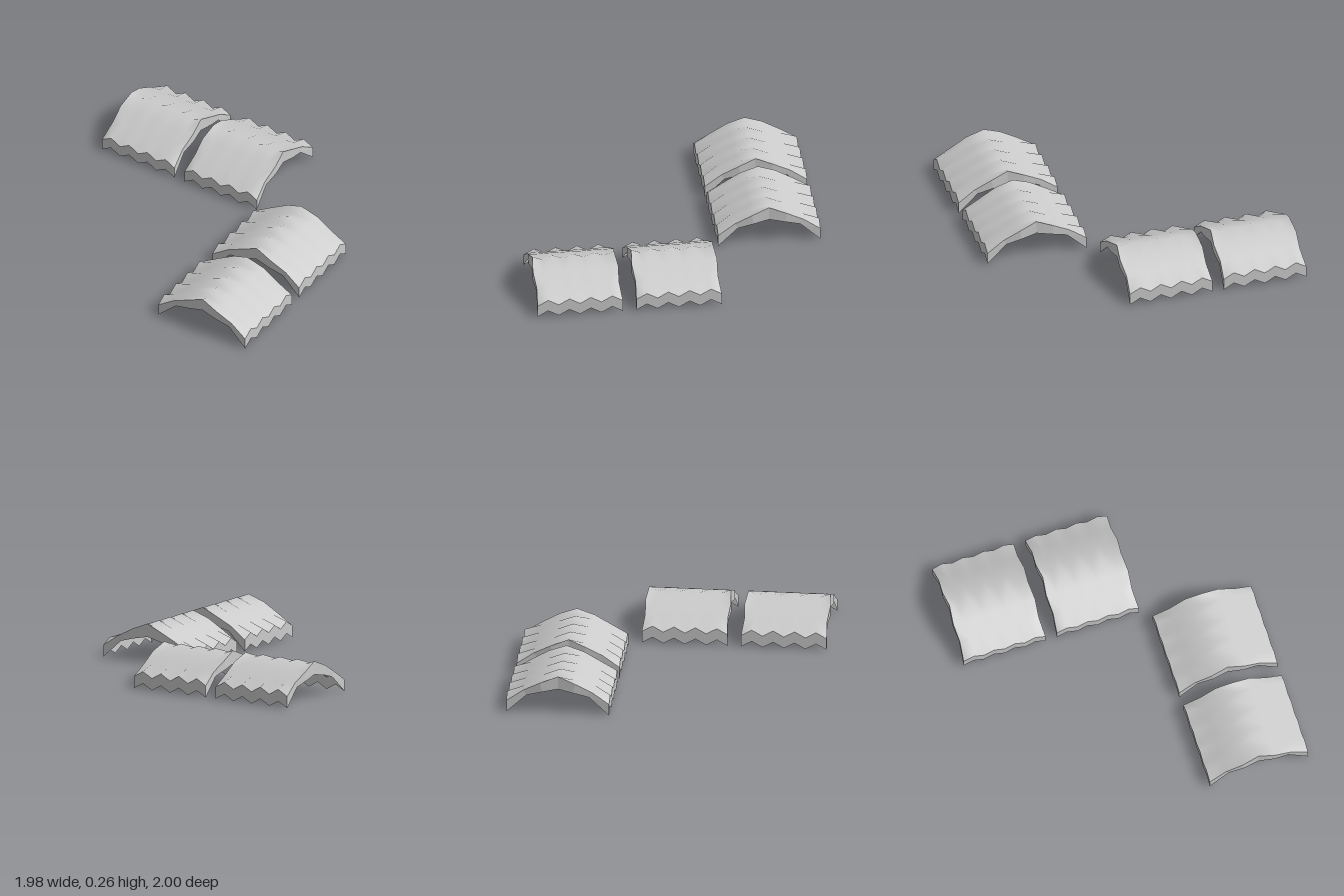
import * as THREE from 'three';
import { mergeGeometries } from 'three/addons/utils/BufferGeometryUtils.js';

const TEETH = 4, LENGTH = 0.572;
// Half arch from foot to crown: [distance from ridge, height on even columns, height on odd columns, end inset]
const ROOF = [[0.343, 0.08, 0.12, 0], [0.23, 0.155, 0.16, 0.01], [0.115, 0.215, 0.213, 0], [0, 0.26, 0.235, 0.012]];
// Lower edge of the hanging border, same layout
const RIM = [[0.343, 0, 0.04, 0], [0.21, 0.12, 0.12, 0.01], [0.105, 0.15, 0.15, 0], [0, 0.17, 0.17, 0.012]];

// Columns of points: the arch repeated along the ridge with alternating heights
function archGrid(half) {
  const profile = [
    ...half.map(([d, ...rest]) => [-d, ...rest]),
    ...half.slice(0, -1).reverse(),
  ];
  const columns = [];
  for (let i = 0; i <= TEETH * 2; i++) {
    const t = i / TEETH - 1;
    columns.push(profile.map(([z, even, odd, inset]) =>
      [t * (LENGTH / 2 - inset), i % 2 ? odd : even, z]));
  }
  return columns;
}

// Surface through rows of points, diagonals mirrored from row to row;
// it faces (column direction x row direction)
function sheet(rows, flat = false) {
  const n = rows[0].length, index = [];
  for (let i = 0; i < rows.length - 1; i++) {
    for (let j = 0; j < n - 1; j++) {
      const a = i * n + j, b = a + 1, d = a + n, c = d + 1;
      if (i % 2) index.push(a, b, d, b, c, d);
      else index.push(a, b, c, a, c, d);
    }
  }
  let g = new THREE.BufferGeometry();
  g.setAttribute('position', new THREE.Float32BufferAttribute(rows.flat(2), 3));
  g.setIndex(index);
  if (flat) g = g.toNonIndexed();
  g.computeVertexNormals();
  return flat ? g : g.toNonIndexed();
}

// Open shell: a vaulted roof with a border hanging from all four edges
function archGeometry() {
  const top = archGrid(ROOF), rim = archGrid(RIM);
  const last = top.length - 1, side = top[0].length - 1;
  const line = (grid, j) => grid.map((column) => column[j]);
  return mergeGeometries([
    sheet(top),
    // saw-toothed feet
    sheet([line(rim, side), line(top, side)], true),
    sheet([line(top, 0), line(rim, 0)], true),
    // arched ends
    sheet([top[last], rim[last]], true),
    sheet([rim[0], top[0]], true),
  ]);
}

export function createModel() {
  const group = new THREE.Group();
  group.name = 'archedPanels';
  const geometry = archGeometry();
  const material = new THREE.MeshStandardMaterial({ color: 0xcccccc, side: THREE.DoubleSide });
  // Two panels with ridges along x, two with ridges along z
  [
    ['backRightPanel', -0.704, -0.657, 0],
    ['backCentrePanel', -0.054, -0.657, 0],
    ['leftMiddlePanel', 0.645, 0.052, Math.PI / 2],
    ['leftFrontPanel', 0.645, 0.714, Math.PI / 2],
  ].forEach(([name, x, z, turn]) => {
    const panel = new THREE.Mesh(geometry, material);
    panel.name = name;
    panel.position.set(x, 0, z);
    panel.rotation.y = turn;
    group.add(panel);
  });
  return group;
}
